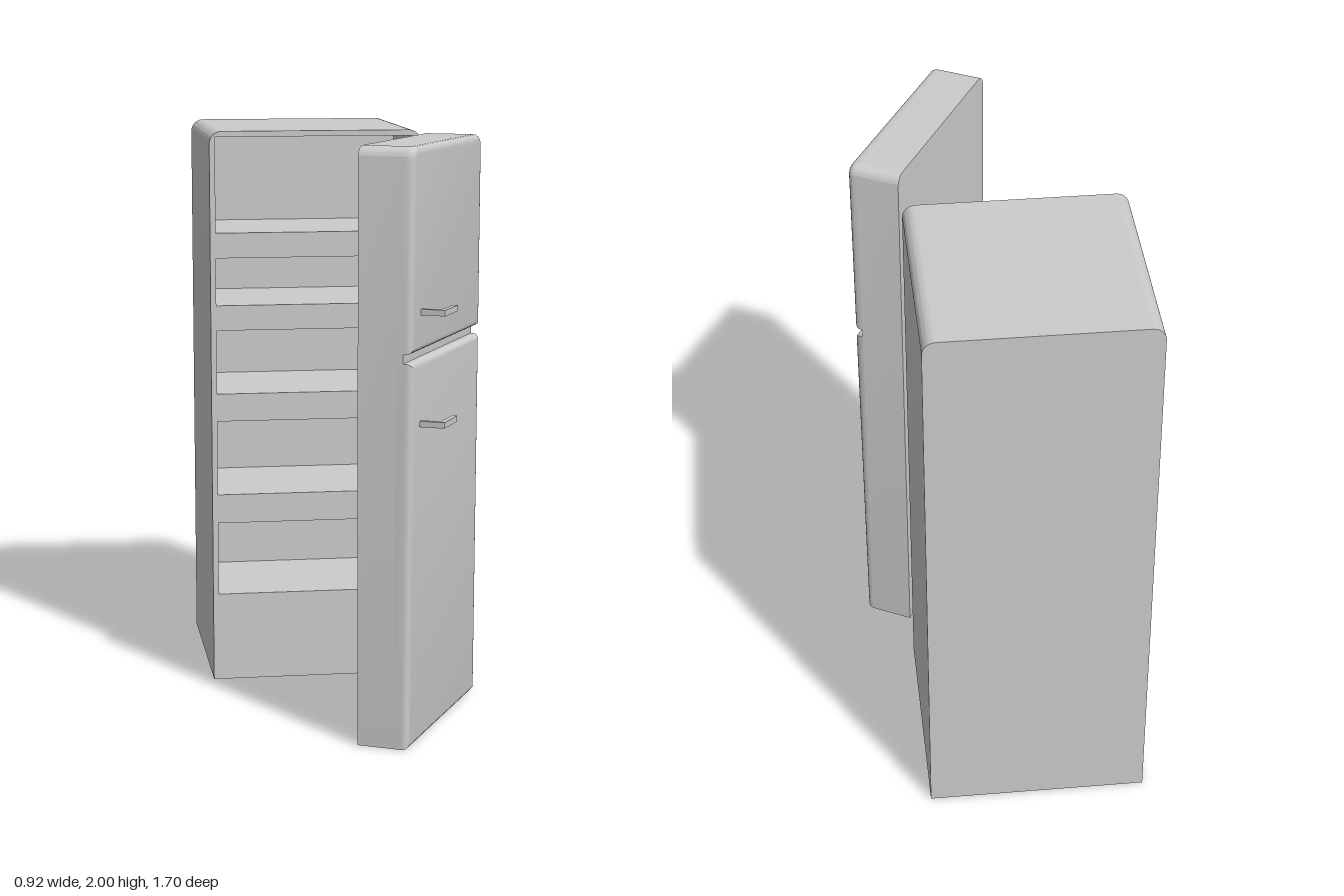
import * as THREE from 'three';
import { toCreasedNormals } from 'three/addons/utils/BufferGeometryUtils.js';

const material = new THREE.MeshStandardMaterial({ color: 0xcccccc });

function addMesh(parent, name, geometry, x = 0, y = 0, z = 0) {
  const mesh = new THREE.Mesh(geometry, material);
  mesh.name = name;
  mesh.position.set(x, y, z);
  parent.add(mesh);
  return mesh;
}

// Upright rectangle with rounded top corners (r = 0 keeps them square)
function panelShape(x0, x1, y0, y1, r) {
  const s = new THREE.Shape();
  s.moveTo(x0, y0);
  s.lineTo(x1, y0);
  s.lineTo(x1, y1 - r);
  if (r) s.absarc(x1 - r, y1 - r, r, 0, Math.PI / 2, false);
  s.lineTo(x0 + r, y1);
  if (r) s.absarc(x0 + r, y1 - r, r, Math.PI / 2, Math.PI, false);
  s.closePath();
  return s;
}

function extrude(shape, depth, bevel = 0) {
  return new THREE.ExtrudeGeometry(shape, {
    depth, curveSegments: 8, bevelEnabled: bevel > 0, bevelSize: bevel,
    bevelThickness: bevel, bevelOffset: -bevel, bevelSegments: 4,
  });
}

const smooth = (g) => toCreasedNormals(g, 0.6);

export function createModel() {
  const model = new THREE.Group();
  model.name = 'refrigerator';

  // Cabinet: front frame with five compartments, closed by a solid rear block
  const cabinet = new THREE.Group();
  cabinet.name = 'cabinet';
  model.add(cabinet);
  const outline = () => panelShape(-0.38, 0.38, 0, 2, 0.045);
  const frame = outline();
  const compartments = [[0.32, 0.585], [0.69, 0.96], [1.06, 1.29], [1.38, 1.55], [1.64, 1.98]];
  for (const [y0, y1] of compartments) {
    frame.holes.push(panelShape(-0.36, 0.36, y0, y1, 0));
  }
  addMesh(cabinet, 'compartmentFrame', smooth(extrude(frame, 0.49)), 0, 0, -0.565);
  addMesh(cabinet, 'cabinetRear', smooth(extrude(outline(), 0.29)), 0, 0, -0.855);
  cabinet.position.x = -0.085;

  // Door assembly, swung open in front of the cabinet
  const door = new THREE.Group();
  door.name = 'door';
  door.position.set(0.1175, 0, 0.4325);
  door.rotation.y = 1.08;
  model.add(door);
  const half = 0.377;
  addMesh(door, 'doorSlab', smooth(extrude(panelShape(-half, half, 0, 2, 0.04), 0.155)));

  // Front panels with softened rims, leaning back slightly toward the floor
  const panels = [['freezerPanel', 1.33, 2, 0.04], ['fridgePanel', 0, 1.3, 0]];
  for (const [name, y0, y1, r] of panels) {
    const g = extrude(panelShape(-half, half, y0, y1, r), 0.03, 0.022);
    g.translate(0, 0, 0.138);
    const p = g.attributes.position;
    for (let i = 0; i < p.count; i++) p.setZ(i, p.getZ(i) - 0.01 * (1 - p.getY(i) / 2));
    addMesh(door, name, smooth(g));
  }

  // L-shaped handles: a short post and a bar
  for (const [name, y] of [['freezerHandle', 1.46], ['fridgeHandle', 1.09]]) {
    const handle = new THREE.Group();
    handle.name = name;
    handle.position.set(-0.282, y, 0);
    addMesh(handle, 'handlePost', new THREE.BoxGeometry(0.018, 0.02, 0.1), 0, 0, 0.22);
    addMesh(handle, 'handleBar', new THREE.BoxGeometry(0.12, 0.02, 0.017), 0.069, 0, 0.2615);
    door.add(handle);
  }

  return model;
}
